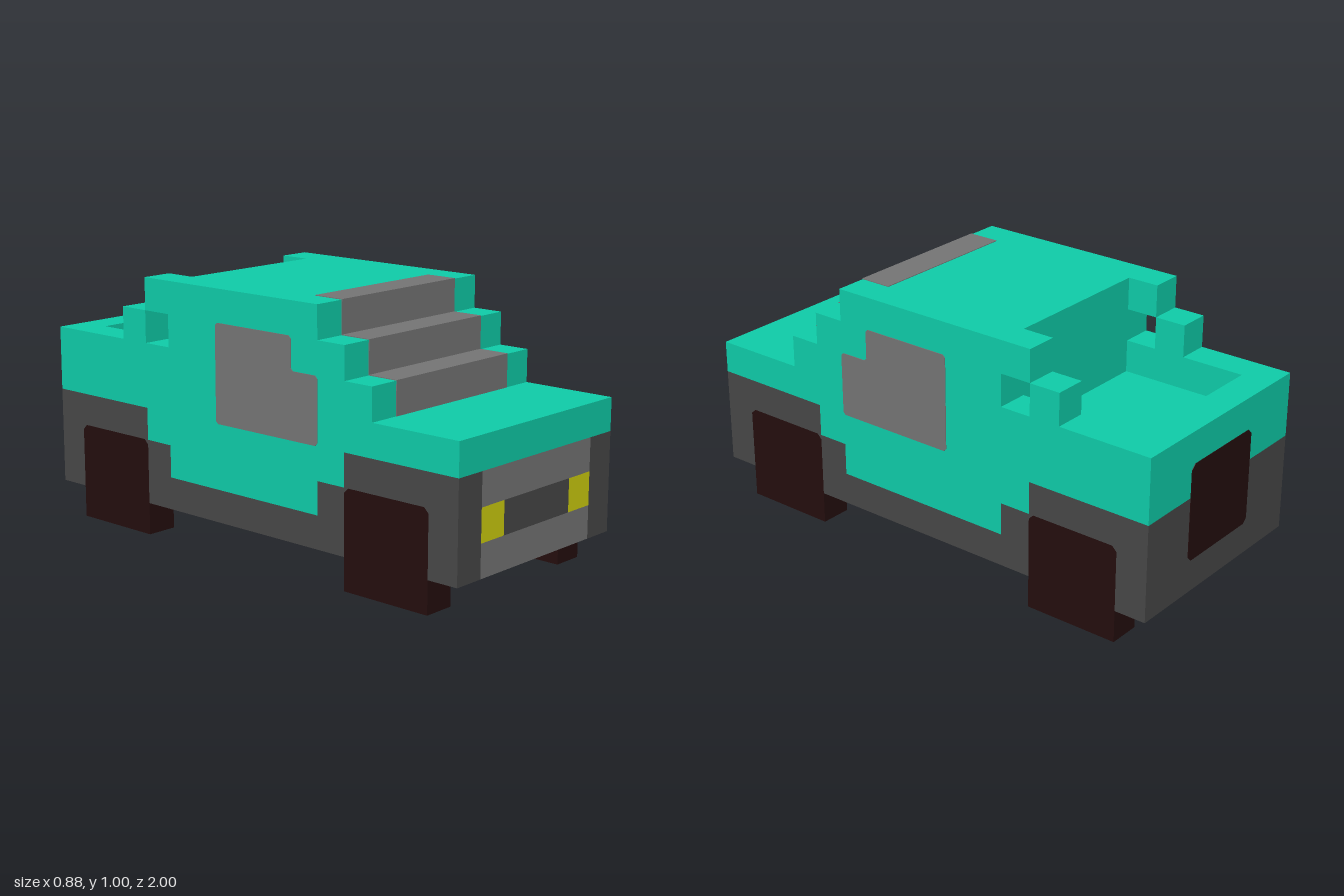
import * as THREE from 'three';

const U = 0.125;   // one block
const D = 0.02;    // plate thickness, in blocks

const material = (name, color) => {
  const m = new THREE.MeshStandardMaterial({ color });
  m.name = name;
  return m;
};

// Cut a small chamfer off every corner of an outline
function chamfer(points, c = 0.15) {
  const step = (a, b) => a.clone().add(b.clone().sub(a).setLength(c));
  const p = points.map(([x, y]) => new THREE.Vector2(x, y));
  const n = p.length;
  return p.flatMap((v, i) => [step(v, p[(i + n - 1) % n]), step(v, p[(i + 1) % n])])
    .map((v) => [v.x, v.y]);
}

export function createModel() {
  const teal = material('teal paint', 0x0ec9a6);
  const glass = material('grey glass and bumper', 0x737373);
  const trim = material('dark grey trim', 0x464646);
  const rubber = material('dark brown rubber', 0x230d0d);
  const lamp = material('yellow lamp', 0xcaca0e);

  const model = new THREE.Group();
  model.name = 'pickup';

  function add(name, geometry, mat) {
    geometry.scale(U, U, U);
    const mesh = new THREE.Mesh(geometry, mat);
    mesh.name = name;
    model.add(mesh);
  }

  function box(name, mat, [x0, x1], [y0, y1], [z0, z1]) {
    const g = new THREE.BoxGeometry(x1 - x0, y1 - y0, z1 - z0);
    g.translate((x0 + x1) / 2, (y0 + y1) / 2, (z0 + z1) / 2);
    add(name, g, mat);
  }

  const extrude = (points, depth) => new THREE.ExtrudeGeometry(
    new THREE.Shape(points.map(([x, y]) => new THREE.Vector2(x, y))),
    { depth, bevelEnabled: false });

  // Side outline given as (z, y), extruded across x
  function profile(name, mat, points, [x0, x1]) {
    const g = extrude(points, x1 - x0);
    g.rotateY(-Math.PI / 2);
    g.translate(x1, 0, 0);
    add(name, g, mat);
  }

  // Centre of the body: hood, cab, open bed and tailgate
  profile('bodyCore', teal, [
    [8, 4], [8, 5], [5, 5], [5, 6], [4, 6], [4, 7], [3, 7], [3, 8],
    [-3, 8], [-3, 5], [-7, 5], [-7, 6], [-8, 6], [-8, 4], [-3, 4], [-3, 2], [4, 2], [4, 4],
  ], [-2.5, 2.5]);

  const sidePanel = [
    [8, 4], [8, 5], [5, 5], [5, 6], [4, 6], [4, 7], [3, 7], [3, 8],
    [-4, 8], [-4, 7], [-3, 7], [-3, 6], [-8, 6], [-8, 4], [-4, 4], [-4, 3], [-3, 3],
    [-3, 2], [3, 2], [3, 3], [4, 3], [4, 4],
  ];
  const fenders = [
    [8, 1], [8, 4], [4, 4], [4, 3], [3, 3], [3, 2], [-3, 2], [-3, 3], [-4, 3], [-4, 4],
    [-8, 4], [-8, 1], [-7, 1], [-7, 2.85], [-6.85, 3], [-4.15, 3], [-4, 2.85], [-4, 1],
    [4, 1], [4, 2.85], [4.15, 3], [6.85, 3], [7, 2.85], [7, 1],
  ];
  const sideWindow = chamfer([[3, 4], [3, 6], [2, 6], [2, 7], [-1, 7], [-1, 4]], 0.08);

  for (const [side, s] of [['left', 1], ['right', -1]]) {
    const span = (a, b) => (s > 0 ? [a, b] : [-b, -a]);
    const wall = span(2.5, 3.5);
    profile(`${side}SidePanel`, teal, sidePanel, wall);
    box(`${side}BedPillar`, teal, wall, [6, 7], [-5, -4]);
    profile(`${side}FendersAndSill`, trim, fenders, wall);
    profile(`${side}Window`, glass, sideWindow, span(3.5, 3.5 + D));
    // Wheels, flush with the fenders
    for (const [end, z] of [['Front', 4], ['Rear', -7]]) {
      profile(`${side}${end}Wheel`, rubber, [
        [z, 0], [z + 3, 0], [z + 3, 2.85], [z + 2.85, 3], [z + 0.15, 3], [z, 2.85],
      ], wall);
    }
    box(`${side}Headlight`, lamp, span(1.5, 2.5), [2, 3], [7, 8]);
  }

  // Stepped windscreen, a thin skin over the cab front
  for (let i = 0; i < 3; i++) {
    box('windscreenStep', glass, [-2.5, 2.5], [5 + i, 6 + i + D], [4 - i, 5 - i + D]);
  }

  // Nose
  box('frontBumper', glass, [-2.5, 2.5], [1, 2], [7, 8]);
  box('upperNose', glass, [-2.5, 2.5], [3, 4], [7, 8]);
  box('grille', trim, [-1.5, 1.5], [2, 3], [7, 8]);

  // Tail with spare wheel
  box('rearBumper', trim, [-2.5, 2.5], [1, 4], [-8, -7]);
  const spare = extrude(chamfer([[-1.5, 2], [1.5, 2], [1.5, 5], [-1.5, 5]]), D);
  spare.translate(0, 0, -8 - D);
  add('spareWheel', spare, rubber);

  return model;
}
